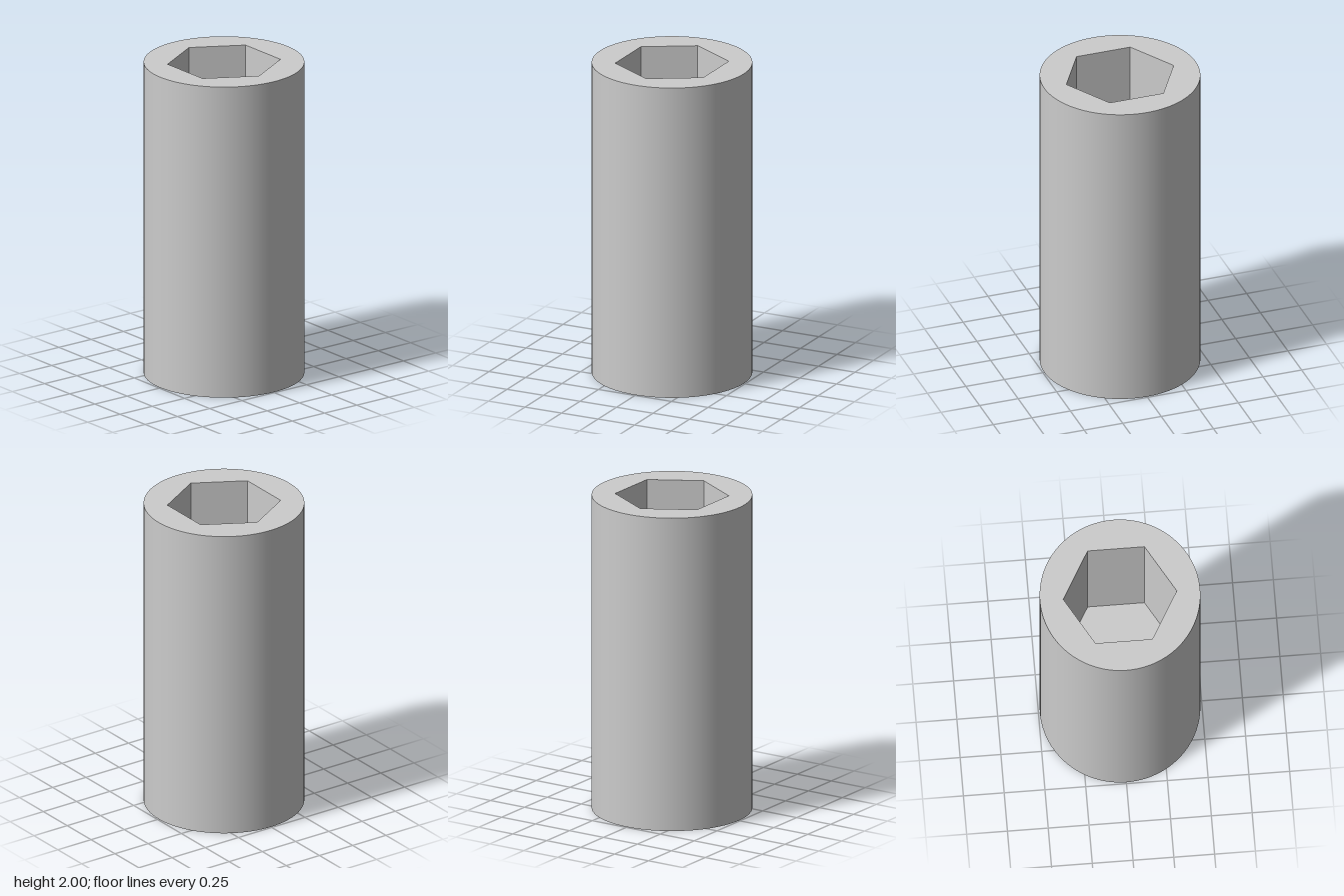
import * as THREE from 'three';

const HEIGHT = 2, RADIUS = 0.491, SEGMENTS = 96;
const HEX_RADIUS = 0.348, SOCKET_DEPTH = 1;

export function createModel() {
  const group = new THREE.Group();
  const smooth = new THREE.MeshStandardMaterial({ color: 0xcccccc });
  const inner = new THREE.MeshStandardMaterial({ color: 0xcccccc, flatShading: true, side: THREE.DoubleSide });

  const add = (name, geometry, y, material = smooth, tilt = 0) => {
    const mesh = new THREE.Mesh(geometry, material);
    mesh.name = name;
    mesh.position.y = y;
    mesh.rotation.x = tilt;
    group.add(mesh);
  };

  // Round outer wall and solid base
  add('outerWall', new THREE.CylinderGeometry(RADIUS, RADIUS, HEIGHT, SEGMENTS, 1, true), HEIGHT / 2);
  add('base', new THREE.CircleGeometry(RADIUS, SEGMENTS), 0, smooth, Math.PI / 2);

  // Flat top face with a hexagonal opening, corners on the x axis
  const rim = new THREE.Shape().absarc(0, 0, RADIUS, 0, Math.PI * 2);
  const corners = Array.from({ length: 6 }, (_, i) => {
    const a = (i * Math.PI) / 3;
    return new THREE.Vector2(Math.cos(a) * HEX_RADIUS, Math.sin(a) * HEX_RADIUS);
  });
  rim.holes.push(new THREE.Path(corners));
  add('topRim', new THREE.ShapeGeometry(rim, SEGMENTS), HEIGHT, smooth, -Math.PI / 2);

  // Blind hexagonal socket: walls and floor
  const walls = new THREE.CylinderGeometry(HEX_RADIUS, HEX_RADIUS, SOCKET_DEPTH, 6, 1, true, Math.PI / 2);
  add('socketWalls', walls, HEIGHT - SOCKET_DEPTH / 2, inner);
  add('socketFloor', new THREE.CircleGeometry(HEX_RADIUS, 6), HEIGHT - SOCKET_DEPTH, smooth, -Math.PI / 2);

  return group;
}
